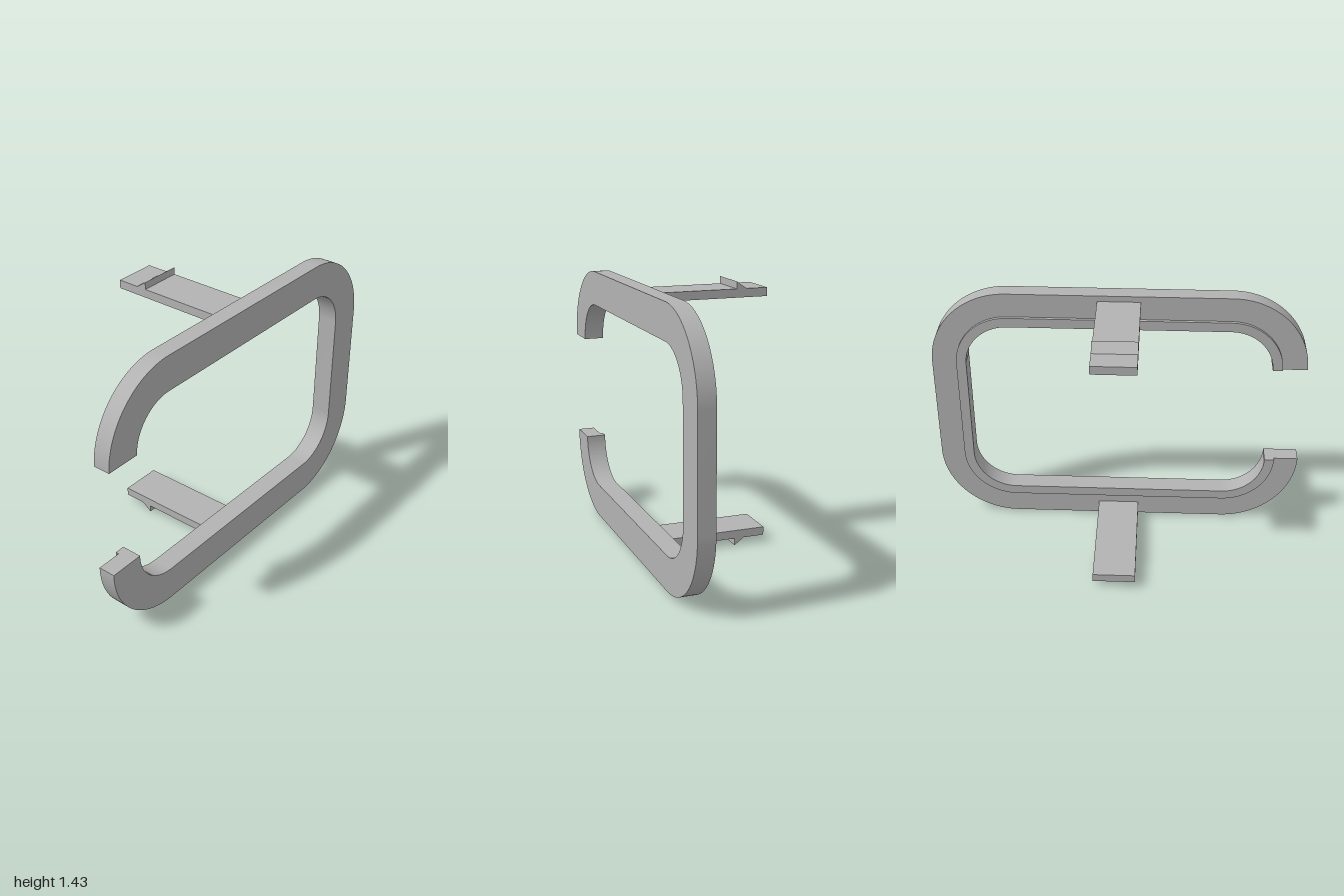
import * as THREE from 'three';
import { toCreasedNormals } from 'three/addons/utils/BufferGeometryUtils.js';

const MID_Y = 0.7135;  // mirror height of the whole bracket
const CX = 0.585;      // corner arc centres, relative to the middle
const CY = 0.2915;
const INNER_R = 0.23;

// Open rounded C outline between two corner radii, gap on the -x side
function cShape(outerR) {
  const s = new THREE.Shape();
  const q = Math.PI / 2;
  s.moveTo(-CX - outerR, CY);
  s.absarc(-CX, CY, outerR, 2 * q, q, true);
  s.absarc(CX, CY, outerR, q, 0, true);
  s.absarc(CX, -CY, outerR, 0, -q, true);
  s.absarc(-CX, -CY, outerR, -q, -2 * q, true);
  s.lineTo(-CX - INNER_R, -CY);
  s.absarc(-CX, -CY, INNER_R, -2 * q, -q, false);
  s.absarc(CX, -CY, INNER_R, -q, 0, false);
  s.absarc(CX, CY, INNER_R, 0, q, false);
  s.absarc(-CX, CY, INNER_R, q, 2 * q, false);
  s.closePath();
  return s;
}

function cRing(outerR, depth, z) {
  const g = new THREE.ExtrudeGeometry(cShape(outerR), { depth, bevelEnabled: false, curveSegments: 24 });
  g.translate(0, MID_Y, z);
  return toCreasedNormals(g, 0.5);
}

// Side profile of a snap arm with its barb: (-z, y) extruded across x
function armGeometry(side) {
  const pts = [
    [-0.273, 0.63], [0.36, 0.63], [0.36, 0.675], [0.245, 0.675],
    [0.19, 0.7135], [0.19, 0.675], [-0.273, 0.675],
  ].map(([a, y]) => new THREE.Vector2(a, y * side));
  const g = new THREE.ExtrudeGeometry(new THREE.Shape(pts), { depth: 0.226, bevelEnabled: false });
  g.translate(0, 0, -0.113);
  g.rotateY(Math.PI / 2);
  g.translate(0, MID_Y, 0);
  return g;
}

export function createModel() {
  const model = new THREE.Group();
  model.name = 'clipFrame';
  const grey = new THREE.MeshStandardMaterial({ color: 0xb2b2b2 });
  grey.name = 'grey';

  const add = (name, geometry) => {
    const mesh = new THREE.Mesh(geometry, grey);
    mesh.name = name;
    model.add(mesh);
  };

  // Main frame and the thin raised lip around its opening at the back
  add('frame', cRing(0.415, 0.09, 0.272));
  add('backLip', cRing(0.283, 0.017, 0.255));

  // Mirrored snap arms
  add('upperSnapArm', armGeometry(1));
  add('lowerSnapArm', armGeometry(-1));

  return model;
}
